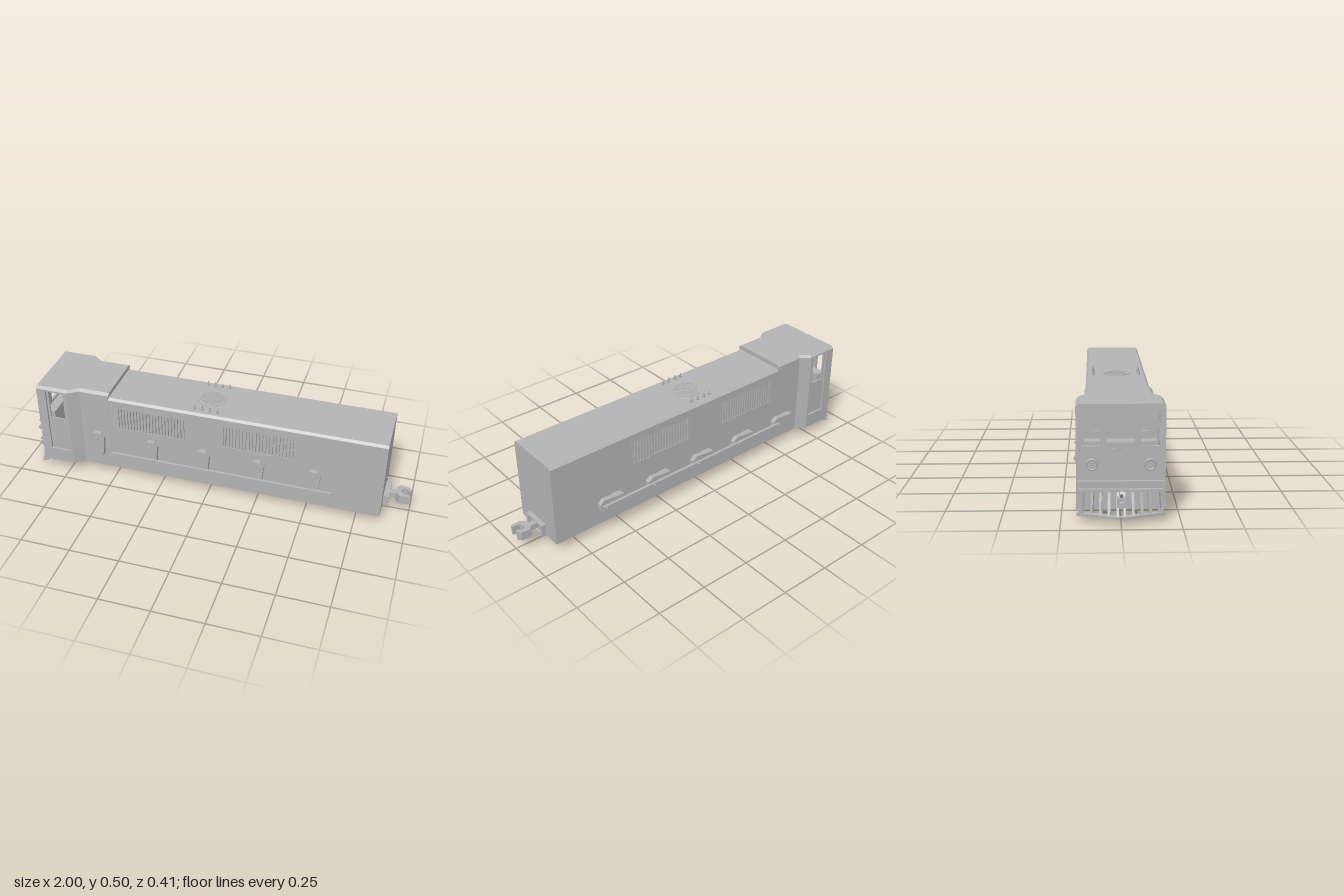
import * as THREE from 'three';

const grey = new THREE.MeshStandardMaterial({ color: 0xb3b3b3 });
grey.name = 'plain grey';

export function createModel() {
  const model = new THREE.Group();
  const add = (name, geo, parent = model) => {
    const m = new THREE.Mesh(geo, grey);
    m.name = name;
    parent.add(m);
    return m;
  };
  // Box given by its extents on each axis
  const box = (name, x0, x1, y0, y1, z0, z1, parent) =>
    add(name, new THREE.BoxGeometry(x1 - x0, y1 - y0, z1 - z0)
      .translate((x0 + x1) / 2, (y0 + y1) / 2, (z0 + z1) / 2), parent);
  // Square bar between two points
  const bar = (name, a, b, w, h = w) => {
    const p = new THREE.Vector3(...a), q = new THREE.Vector3(...b);
    const m = add(name, new THREE.BoxGeometry(w, h, p.distanceTo(q)));
    m.position.copy(p).add(q).multiplyScalar(0.5);
    m.lookAt(q);
    return m;
  };
  const poly = (pts) => new THREE.Shape(pts.map((p) => new THREE.Vector2(...p)));
  const rect = (x0, x1, y0, y1) => poly([[x0, y0], [x1, y0], [x1, y1], [x0, y1]]);
  const extrude = (shape, depth, holes = []) => {
    shape.holes.push(...holes);
    return new THREE.ExtrudeGeometry(shape, { depth, bevelEnabled: false });
  };
  // Loft along x: each station is [x, half width]; chamfered top edges
  const loft = (name, stations, y0, y1, chamferY, chamferZ) => {
    const rings = stations.map(([x, w]) => [[w, y0], [w, y1 - chamferY], [w - chamferZ, y1],
      [chamferZ - w, y1], [-w, y1 - chamferY], [-w, y0]].map(([z, y]) => [x, y, z]));
    const pos = [], tri = (...p) => p.forEach((v) => pos.push(...v));
    const n = 6, last = rings[rings.length - 1];
    for (let r = 0; r + 1 < rings.length; r++)
      for (let i = 0; i < n; i++) {
        const j = (i + 1) % n, a = rings[r], b = rings[r + 1];
        tri(a[i], b[i], a[j]);
        tri(a[j], b[i], b[j]);
      }
    for (let i = 1; i + 1 < n; i++) {
      tri(rings[0][0], rings[0][i], rings[0][i + 1]);
      tri(last[0], last[i + 1], last[i]);
    }
    const geo = new THREE.BufferGeometry();
    geo.setAttribute('position', new THREE.Float32BufferAttribute(pos, 3));
    geo.computeVertexNormals();
    return add(name, geo);
  };

  // Long hood: core, end wall and roof
  box('hoodCore', -0.52, 0.86, 0.075, 0.46, -0.137, 0.137);
  box('hoodEndWall', 0.858, 0.87, 0.05, 0.456, -0.136, 0.136);
  loft('hoodRoof', [[-0.52, 0.148], [0.87, 0.148]], 0.455, 0.471, 0.011, 0.011);
  add('rearPin', new THREE.CylinderGeometry(0.003, 0.003, 0.012, 8).rotateZ(Math.PI / 2)).position.set(0.875, 0.18, 0);

  // Hood sides with slatted vents
  const vents = [[-0.465, -0.12], [0.078, 0.43]];
  for (const s of [1, -1]) {
    const wall = extrude(rect(-0.52, 0.87, 0.05, 0.456), 0.012, vents.map(([a, b]) => rect(a, b, 0.3, 0.42)));
    add('hoodSide', wall).position.z = s > 0 ? 0.136 : -0.148;
    for (const [a, b] of vents)
      for (let i = 0; i < 21; i++) {
        const x = a + ((i + 0.5) * (b - a)) / 21;
        box('ventSlat', x - 0.005, x + 0.005, 0.3, 0.42, s * 0.141 - 0.0055, s * 0.141 + 0.0055);
      }
  }

  // Cab: tapered rear block, roof, floor
  loft('cabRear', [[-0.725, 0.185], [-0.72, 0.185], [-0.668, 0.149], [-0.515, 0.149]], 0.05, 0.484, 0.001, 0.001);
  loft('cabRoof', [[-0.885, 0.185], [-0.72, 0.185], [-0.668, 0.15], [-0.512, 0.15]], 0.478, 0.497, 0.012, 0.014);
  box('cabFloor', -0.88, -0.72, 0.06, 0.15, -0.172, 0.172);
  box('console', -0.865, -0.815, 0.15, 0.335, -0.15, 0.15);
  for (const s of [1, -1]) {
    // Recessed door with an open window in each cab side
    const side = extrude(rect(-0.885, -0.72, 0.05, 0.48), 0.012, [rect(-0.838, -0.733, 0.125, 0.477)]);
    add('cabSide', side).position.z = s > 0 ? 0.173 : -0.185;
    const door = extrude(rect(-0.845, -0.725, 0.12, 0.48), 0.008, [rect(-0.826, -0.748, 0.315, 0.468)]);
    add('cabDoor', door).position.z = s > 0 ? 0.166 : -0.174;
    box('seat', -0.79, -0.735, 0.15, 0.26, s * 0.09 - 0.03, s * 0.09 + 0.03);
    box('seatBack', -0.745, -0.733, 0.26, 0.35, s * 0.09 - 0.03, s * 0.09 + 0.03);
    // Front lamps
    add('lamp', new THREE.CylinderGeometry(0.024, 0.024, 0.012, 16).rotateZ(Math.PI / 2)).position.set(-0.89, 0.245, s * 0.12);
    add('lampRim', new THREE.TorusGeometry(0.022, 0.004, 6, 16).rotateY(Math.PI / 2)).position.set(-0.896, 0.245, s * 0.12);
    add('upperLamp', new THREE.CylinderGeometry(0.012, 0.012, 0.012, 12).rotateZ(Math.PI / 2)).position.set(-0.89, 0.3, s * 0.03);
  }
  const front = extrude(rect(-0.173, 0.173, 0.05, 0.48), 0.012,
    [rect(-0.16, -0.085, 0.32, 0.455), rect(-0.058, 0.058, 0.335, 0.465), rect(0.085, 0.16, 0.32, 0.455)]);
  add('cabFront', front.rotateY(-Math.PI / 2)).position.x = -0.873;
  box('frontPanel', -0.891, -0.884, 0.215, 0.275, -0.035, 0.035);
  box('frontLedge', -0.9, -0.884, 0.165, 0.175, -0.18, 0.18);

  // Pilot: pointed lower bar with raked bars up to the cab
  for (const s of [1, -1]) {
    bar('pilotBar', [-0.888, 0.034, s * 0.18], [-0.955, 0.034, 0], 0.024, 0.012);
    for (const t of [0.08, 0.28, 0.48, 0.68, 0.9]) {
      const z = s * 0.18 * t;
      bar('pilotRib', [-0.955 + 0.067 * t, 0.034, z], [-0.89, 0.135, z * 0.95], 0.011);
    }
    box('pilotPost', -0.9, -0.875, 0.035, 0.055, s * 0.17 - 0.006, s * 0.17 + 0.006);
  }
  box('pilotTop', -0.9, -0.884, 0.128, 0.14, -0.175, 0.175);

  // Front coupler
  box('frontCouplerPlate', -0.9, -0.884, 0.085, 0.13, -0.045, 0.045);
  box('frontCouplerShank', -0.955, -0.89, 0.095, 0.115, -0.011, 0.011);
  box('frontCouplerHead', -0.975, -0.942, 0.085, 0.125, -0.018, 0.018);
  bar('frontCouplerLever', [-0.945, 0.115, 0], [-0.994, 0.155, 0], 0.012);
  box('frontCouplerTip', -1, -0.97, 0.095, 0.112, -0.008, 0.012);

  // Rear coupler with a hooked knuckle
  const frame = extrude(rect(-0.067, 0.067, 0.057, 0.118), 0.02, [rect(-0.05, 0.05, 0.064, 0.112)]);
  add('rearCouplerFrame', frame.rotateY(-Math.PI / 2)).position.x = 0.895;
  box('rearCouplerPlate', 0.868, 0.882, 0.06, 0.115, -0.06, 0.06);
  box('rearCouplerShank', 0.88, 0.935, 0.075, 0.102, -0.014, 0.014);
  const hook = poly([[0.925, -0.02], [0.94, -0.045], [0.985, -0.04], [1, -0.02], [0.99, -0.008],
    [0.975, -0.024], [0.955, -0.024], [0.95, 0], [0.96, 0.018], [0.995, 0.02], [0.995, 0.036], [0.945, 0.038], [0.925, 0.015]]);
  add('rearCouplerHook', extrude(hook, 0.046).rotateX(Math.PI / 2)).position.y = 0.112;

  // Roof fan grille and the two rows of horns
  const octagon = poly(Array.from({ length: 8 }, (_, i) => {
    const a = ((i + 0.5) * Math.PI) / 4;
    return [0.076 * Math.cos(a), 0.076 * Math.sin(a)];
  }));
  const cells = [];
  for (let i = -5; i <= 5; i++)
    for (let j = -8; j <= 8; j++) {
      const x = i * 0.018 + (j % 2 ? 0.009 : 0), y = j * 0.009, r = 0.0065;
      if (Math.hypot(x, y) < 0.062) cells.push(poly([[x + r, y], [x, y + r], [x - r, y], [x, y - r]]));
    }
  add('fanGrille', extrude(octagon, 0.004, cells).rotateX(-Math.PI / 2)).position.set(-0.02, 0.47, 0);
  for (const z of [0.112, -0.112])
    for (const x of [-0.075, -0.038, 0, 0.037]) {
      add('hornBase', new THREE.CylinderGeometry(0.006, 0.006, 0.014, 8)).position.set(x, 0.477, z);
      add('hornTip', new THREE.CylinderGeometry(0.003, 0.003, 0.012, 8)).position.set(x, 0.489, z);
    }

  // Side brackets: upright on the front, turned on their side at the back
  const plate = [[-0.027, -0.025], [0.027, -0.025], [0.037, 0.085], [0.018, 0.108], [-0.018, 0.108], [-0.037, 0.085]];
  for (const s of [1, -1]) {
    for (const x of [-0.575, -0.29, -0.02, 0.256, 0.535]) {
      const bracket = new THREE.Group();
      bracket.name = 'bracket';
      model.add(bracket);
      add('bracketPlate', extrude(poly(plate), 0.023), bracket).position.z = 0.162;
      box('bracketNeck', -0.024, 0.024, -0.024, 0.024, 0.146, 0.163, bracket);
      add('bracketPeg', new THREE.CylinderGeometry(0.006, 0.006, 0.02, 8).rotateX(Math.PI / 2), bracket).position.set(0, 0.082, 0.194);
      bracket.position.set(x, 0.165, 0);
      if (s < 0) bracket.rotation.set(0, Math.PI, Math.PI / 2);
    }
    box('handrail', -0.5, 0.635, 0.151, 0.175, s * 0.191 - 0.007, s * 0.191 + 0.007);
  }

  // Underframe: dropped trapezoid bars on both sides
  const dropBar = (c, w, b) => poly([[c - w, 0.055], [c - b, 0.002], [c + b, 0.002], [c + w, 0.055],
    [c + w - 0.04, 0.055], [c + b - 0.012, 0.028], [c - b + 0.012, 0.028], [c - w + 0.04, 0.055]]);
  for (const s of [1, -1]) {
    for (const c of [-0.555, -0.015, 0.55])
      add('dropBar', extrude(dropBar(c, 0.145, 0.075), 0.022)).position.z = s * 0.062 - 0.011;
    for (const c of [-0.29, 0.255]) {
      add('innerDropBar', extrude(dropBar(c, 0.12, 0.065), 0.022)).position.z = s * 0.062 - 0.011;
      for (const d of [1, -1])
        bar('crossBrace', [c + d * 0.11, 0.055, s * 0.055], [c + d * 0.02, 0.04, 0], 0.018);
    }
    box('sill', -0.68, 0.68, 0.055, 0.078, s * 0.062 - 0.011, s * 0.062 + 0.011);
    for (const x of [-0.78, 0.74])
      add('wheel', new THREE.CylinderGeometry(0.045, 0.045, 0.024, 8).rotateY(Math.PI / 8).rotateX(Math.PI / 2))
        .position.set(x, 0.042, s * 0.062);
  }
  for (const c of [-0.29, 0.255]) box('braceBeam', c - 0.03, c + 0.03, 0.03, 0.078, -0.055, 0.055);
  for (const x of [-0.78, 0.74]) {
    add('axle', new THREE.CylinderGeometry(0.012, 0.012, 0.15, 8).rotateX(Math.PI / 2)).position.set(x, 0.042, 0);
    box('axleHousing', x - 0.022, x + 0.022, 0.028, 0.078, -0.025, 0.025);
  }
  return model;
}
